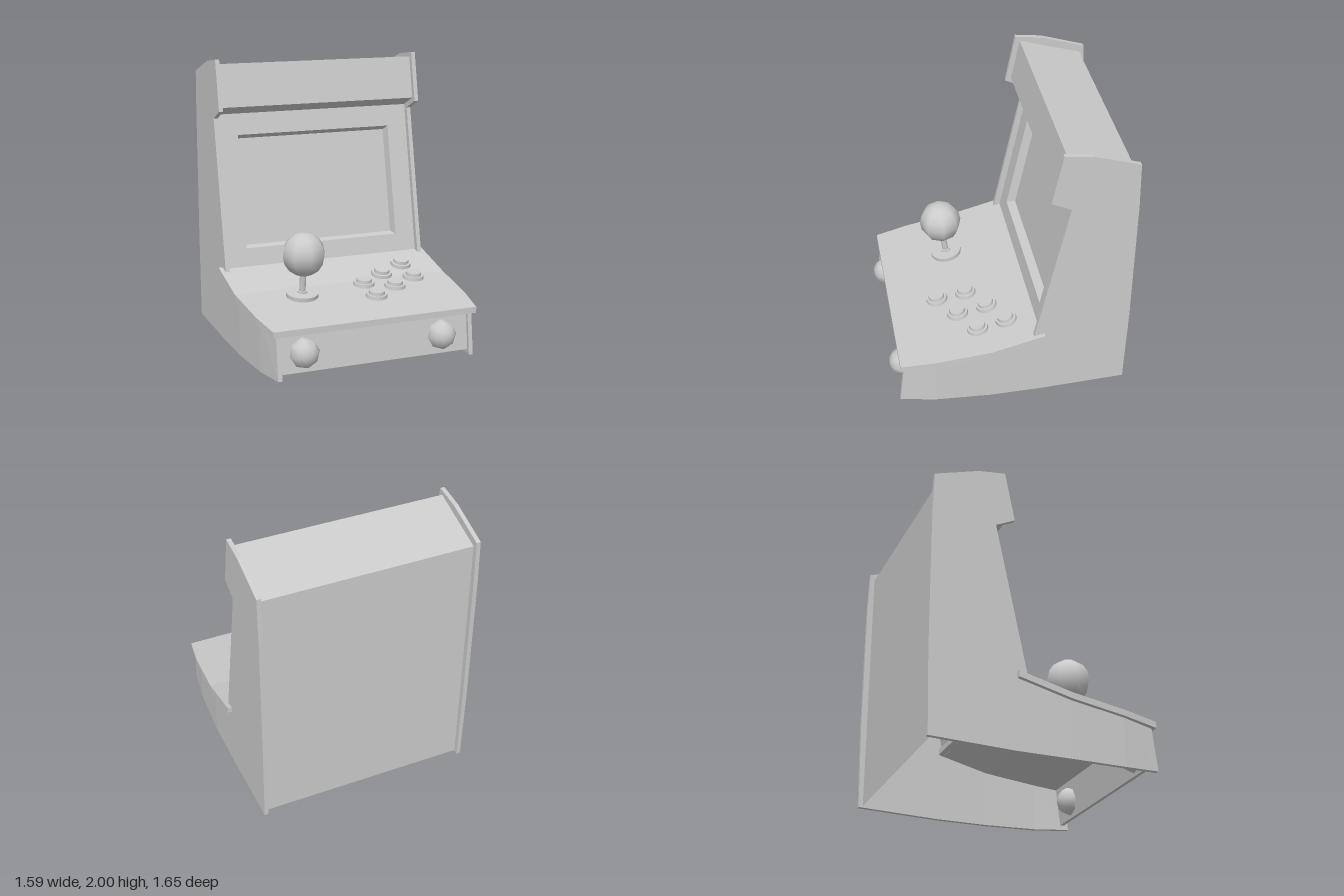
import * as THREE from 'three';

const material = new THREE.MeshStandardMaterial({ color: 0xcccccc, side: THREE.DoubleSide });

function addMesh(parent, name, geometry) {
  const mesh = new THREE.Mesh(geometry, material);
  mesh.name = name;
  parent.add(mesh);
  return mesh;
}

// Flat-shaded surface from a list of four-cornered faces
function quadGeometry(quads) {
  const positions = quads.flatMap(([a, b, c, d]) => [a, b, c, a, c, d]).flat();
  const geometry = new THREE.BufferGeometry();
  geometry.setAttribute('position', new THREE.Float32BufferAttribute(positions, 3));
  geometry.computeVertexNormals();
  return geometry;
}

// Rectangular cross-section: x range, bottom y and z, top y and z
const section = (x0, x1, y0, z0, y1, z1) =>
  [[x0, y0, z0], [x1, y0, z0], [x1, y1, z1], [x0, y1, z1]];

// Solid through cross-sections, ordered from back to front
function loft(sections) {
  const quads = [];
  for (let i = 0; i < sections.length - 1; i++) {
    const a = sections[i], b = sections[i + 1];
    for (let j = 0; j < 4; j++) {
      const k = (j + 1) % 4;
      quads.push([a[j], a[k], b[k], b[j]]);
    }
  }
  quads.push(sections[sections.length - 1], [...sections[0]].reverse());
  return quadGeometry(quads);
}

// Point and tilt of the control deck's top at depth z
const deckTop = z => (z > 0.15 ? 0.44 - (z - 0.15) * 0.136 : 0.44 + (0.15 - z) * 0.25);
const deckTilt = z => Math.atan(z > 0.15 ? 0.136 : 0.25);

function addSidePanel(cabinet, side) {
  const panel = new THREE.Group();
  panel.name = side > 0 ? 'leftSidePanel' : 'rightSidePanel';
  cabinet.add(panel);

  // Flat rear part, profile as [z, y]
  const profile = [
    [0.15, 0], [-0.23, 0], [-0.81, 0.02], [-0.822, 0.6], [-0.822, 1.55], [-0.812, 1.875],
    [-0.5, 1.975], [-0.31, 2], [-0.24, 1.645], [-0.375, 1.58], [-0.15, 0.5], [0.15, 0.4],
  ];
  const shape = new THREE.Shape(profile.map(([z, y]) => new THREE.Vector2(-z, y)));
  const rear = new THREE.ExtrudeGeometry(shape, { depth: 0.03, bevelEnabled: false });
  rear.rotateY(Math.PI / 2);
  rear.translate(side > 0 ? 0.735 : -0.765, 0, 0);
  addMesh(panel, 'sideRear', rear);

  // Front part bending inwards
  const slice = (outer, y0, z0, y1, z1) => {
    const xs = [side * outer, side * (outer - 0.03)].sort((a, b) => a - b);
    return section(xs[0], xs[1], y0, z0, y1, z1);
  };
  addMesh(panel, 'sideFront', loft([
    slice(0.765, 0, 0.15, 0.4, 0.15),
    slice(0.745, 0.006, 0.53, 0.345, 0.53),
    slice(0.71, 0.02, 0.785, 0.312, 0.75),
  ]));
}

function addScreen(cabinet) {
  const screen = new THREE.Group();
  screen.name = 'screen';
  screen.position.set(0, 0.5, -0.195);
  screen.rotation.x = -0.2;
  cabinet.add(screen);

  // Bezel with its opening
  const rectangle = (w, y0, y1) => [[-w, y0], [w, y0], [w, y1], [-w, y1]];
  const toPoints = list => list.map(([x, y]) => new THREE.Vector2(x, y));
  const opening = rectangle(0.585, 0.158, 0.969);
  const bezel = new THREE.Shape(toPoints(rectangle(0.735, -0.02, 1.122)));
  bezel.holes.push(new THREE.Path(toPoints(opening)));
  addMesh(screen, 'bezel', new THREE.ShapeGeometry(bezel));

  // Tapered recess walls and the display behind
  const front = opening.map(([x, y]) => [x, y, 0]);
  const back = rectangle(0.57, 0.18, 0.947).map(([x, y]) => [x, y, -0.06]);
  const walls = front.map((p, i) => [p, front[(i + 1) % 4], back[(i + 1) % 4], back[i]]);
  addMesh(screen, 'recess', quadGeometry(walls));
  addMesh(screen, 'display', quadGeometry([back]));
}

function addOnDeck(cabinet, name, x, z) {
  const group = new THREE.Group();
  group.name = name;
  group.position.set(x, deckTop(z), z);
  group.rotation.x = deckTilt(z);
  cabinet.add(group);
  return group;
}

function addDisc(parent, name, radius, bottom, top, topRadius = radius) {
  const geometry = new THREE.CylinderGeometry(topRadius, radius, top - bottom, 24);
  geometry.translate(0, (top + bottom) / 2, 0);
  addMesh(parent, name, geometry);
}

export function createModel() {
  const cabinet = new THREE.Group();
  cabinet.name = 'arcadeCabinet';

  for (const side of [1, -1]) addSidePanel(cabinet, side);
  addScreen(cabinet);

  // Marquee underside, marquee face, roof and back, open at the bottom
  const shell = [[-0.42, 1.6], [-0.28, 1.665], [-0.34, 1.965], [-0.78, 1.83], [-0.78, 0.03]];
  const names = ['marqueeUnderside', 'marquee', 'roof', 'backPanel'];
  names.forEach((name, i) => {
    const [[z0, y0], [z1, y1]] = [shell[i], shell[i + 1]];
    addMesh(cabinet, name, quadGeometry([section(-0.735, 0.735, y0, z0, y1, z1)]));
  });

  // Control deck, narrowing to the front
  const deckSlice = (w, z) => section(-w, w, deckTop(z) - 0.043, z, deckTop(z), z);
  addMesh(cabinet, 'controlDeck', loft([
    deckSlice(0.795, -0.225), deckSlice(0.795, 0.15), deckSlice(0.772, 0.53), deckSlice(0.735, 0.773),
  ]));

  // Front panel
  addMesh(cabinet, 'frontPanel', loft([
    section(-0.69, 0.69, 0.05, 0.725, 0.32, 0.695),
    section(-0.69, 0.69, 0.05, 0.75, 0.32, 0.72),
  ]));

  // Round knobs on the front panel
  for (const x of [-0.51, 0.49]) {
    const knob = new THREE.SphereGeometry(0.106, 8, 8);
    knob.rotateX(Math.PI / 2);
    knob.rotateZ(x > 0 ? 0.05 : 0.15);
    knob.translate(x, 0.176, 0.725);
    addMesh(cabinet, 'frontKnob', knob);
  }

  // Joystick
  const joystick = addOnDeck(cabinet, 'joystick', -0.355, 0.285);
  addDisc(joystick, 'joystickBase', 0.113, -0.005, 0.028);
  addDisc(joystick, 'joystickCollar', 0.035, 0.028, 0.038);
  addDisc(joystick, 'joystickShaft', 0.022, 0.028, 0.2);
  const ball = addMesh(cabinet, 'joystickBall', new THREE.SphereGeometry(0.152, 8, 8));
  ball.position.set(-0.355, 0.725, 0.322);

  // Two rows of push buttons
  const buttons = [[0.135, 0.22], [0.325, 0.1], [0.525, -0.005], [0.14, 0.43], [0.335, 0.31], [0.53, 0.2]];
  for (const [x, z] of buttons) {
    const button = addOnDeck(cabinet, 'pushButton', x, z);
    addDisc(button, 'buttonRim', 0.078, -0.005, 0.024, 0.072);
    addDisc(button, 'buttonCap', 0.058, 0.02, 0.047, 0.053);
  }

  return cabinet;
}
